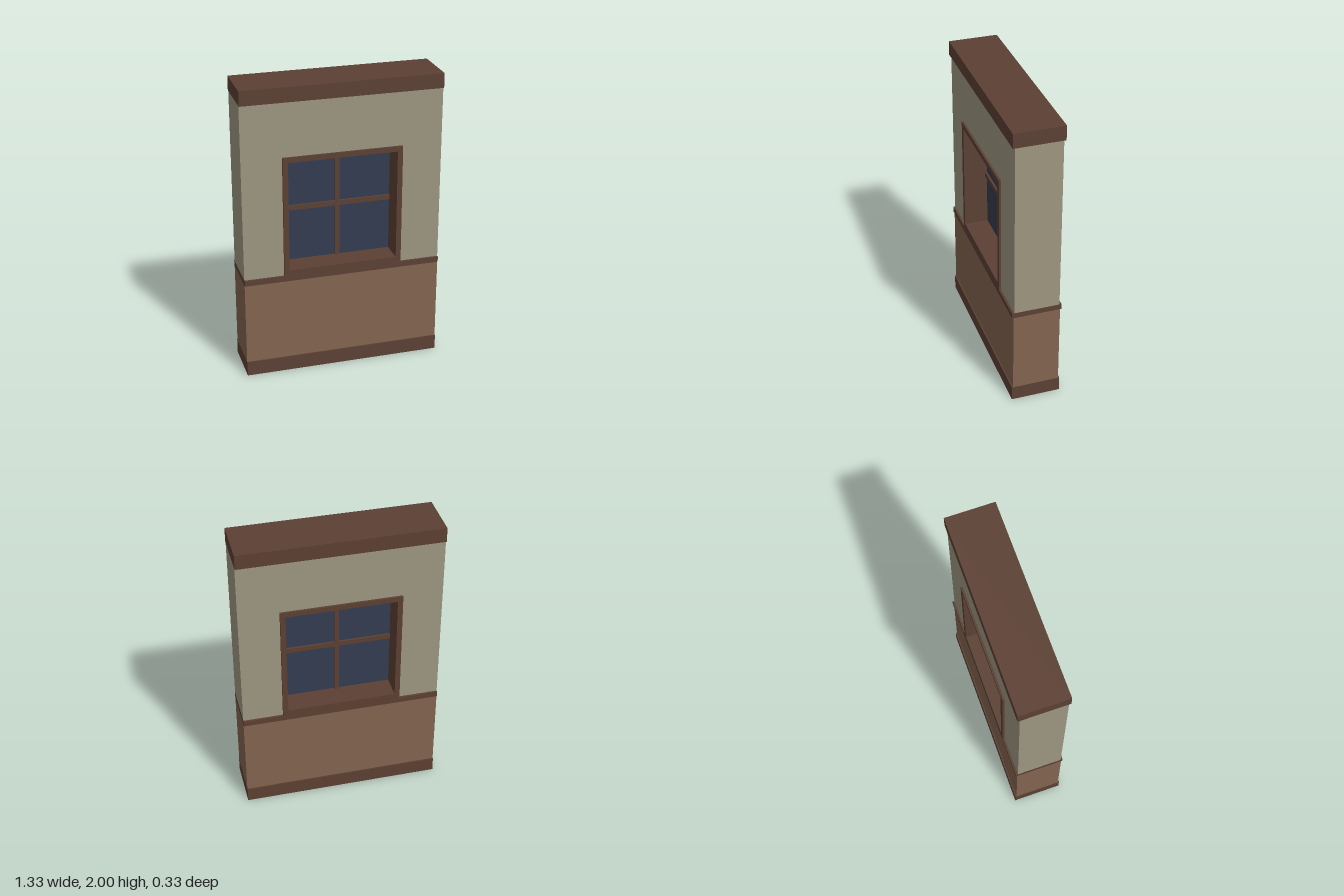
import * as THREE from 'three';

const HALF_W = 0.667;

function material(name, color) {
  const m = new THREE.MeshStandardMaterial({ color });
  m.name = name;
  return m;
}

export function createModel() {
  const group = new THREE.Group();
  group.name = 'windowWall';

  const trim = material('dark wood', 0x5c4033);
  const panel = material('brown panel', 0x83644f);
  const plaster = material('beige plaster', 0x9d9680);
  const glass = material('dark blue glass', 0x333c50);

  function add(name, geometry, mat) {
    const mesh = new THREE.Mesh(geometry, mat);
    mesh.name = name;
    group.add(mesh);
  }

  // Box centred in depth, given by its edges
  function slab(name, x0, x1, y0, y1, depth, mat) {
    const g = new THREE.BoxGeometry(x1 - x0, y1 - y0, depth);
    g.translate((x0 + x1) / 2, (y0 + y1) / 2, 0);
    add(name, g, mat);
  }

  // Outline extruded evenly to front and back
  function extrude(name, shape, depth, mat) {
    const g = new THREE.ExtrudeGeometry(shape, { depth, bevelEnabled: false });
    g.translate(0, 0, -depth / 2);
    add(name, g, mat);
  }

  const outline = (points) => points.map(([x, y]) => new THREE.Vector2(x, y));
  const rect = (w, y0, y1) => outline([[-w, y0], [w, y0], [w, y1], [-w, y1]]);

  // Horizontal bands
  slab('baseboard', -HALF_W, HALF_W, 0, 0.1, 0.332, trim);
  slab('lowerPanel', -HALF_W, HALF_W, 0.1, 0.67, 0.314, panel);
  slab('chairRail', -HALF_W, HALF_W, 0.67, 0.708, 0.332, trim);
  slab('topBeam', -HALF_W, HALF_W, 1.902, 2, 0.332, trim);

  // Upper wall, notched around the window
  const wall = new THREE.Shape(outline([
    [-HALF_W, 0.708], [-0.4, 0.708], [-0.4, 1.535], [0.4, 1.535],
    [0.4, 0.708], [HALF_W, 0.708], [HALF_W, 1.902], [-HALF_W, 1.902],
  ]));
  extrude('upperWall', wall, 0.304, plaster);

  // Window frame with deep reveals
  const frame = new THREE.Shape(rect(0.4, 0.708, 1.535));
  frame.holes.push(new THREE.Path(rect(0.365, 0.747, 1.5)));
  extrude('windowFrame', frame, 0.332, trim);

  // Pane and glazing bars, seen from both sides
  slab('windowPane', -0.365, 0.365, 0.747, 1.5, 0.008, glass);
  slab('verticalBar', -0.015, 0.015, 0.747, 1.5, 0.038, trim);
  for (const s of [-1, 1]) {
    const [x0, x1] = s < 0 ? [-0.365, -0.015] : [0.015, 0.365];
    slab('horizontalBar', x0, x1, 1.107, 1.14, 0.038, trim);
  }

  return group;
}
